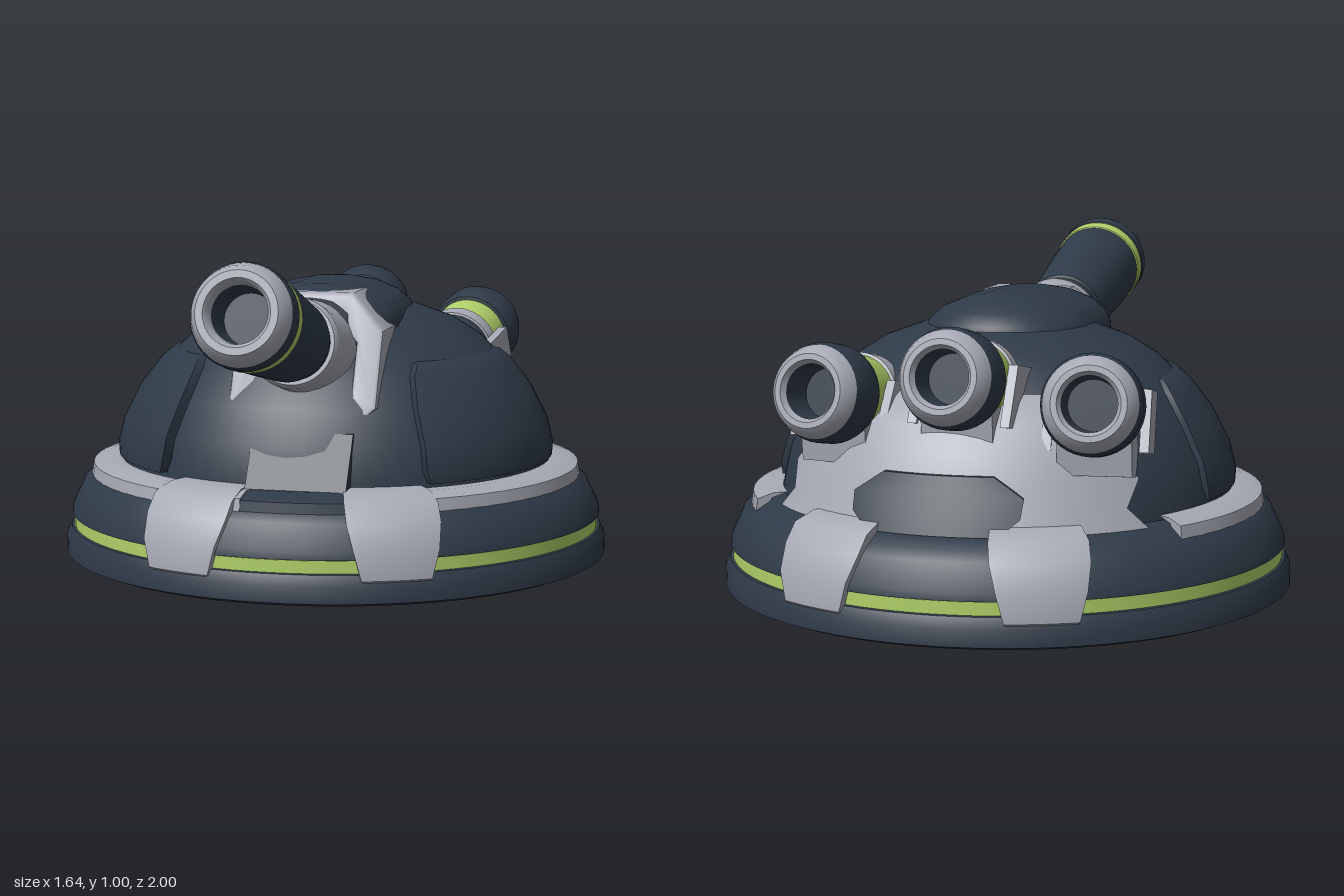
import * as THREE from 'three';
import { toCreasedNormals } from 'three/addons/utils/BufferGeometryUtils.js';

const RAD = Math.PI / 180;
const HULL_Z = -0.18;

export function createModel() {
  const model = new THREE.Group();
  model.name = 'domeTurret';

  const material = (name, color) => {
    const m = new THREE.MeshStandardMaterial({ color });
    m.name = name;
    return m;
  };
  const dark = material('darkSlate', 0x2f3a48);
  const grey = material('lightGrey', 0xa6a9b4);
  const lime = material('limeGreen', 0xb0d068);

  const add = (parent, name, geometry, mat, crease = 0.6) => {
    const mesh = new THREE.Mesh(toCreasedNormals(geometry, crease), mat);
    mesh.name = name;
    parent.add(mesh);
    return mesh;
  };

  // Turned part; points are [radius, height], listed from bottom to top
  const turned = (points, segments = 64) =>
    new THREE.LatheGeometry(points.map(([r, y]) => new THREE.Vector2(r, y)), segments);

  // Curved plate on the hull; rows are [radius, height, half width in degrees]
  const plate = (rows, centre, thickness) => {
    const n = rows.length - 1;
    const g = new THREE.BoxGeometry(1, 1, 1, 20, n, 1);
    const p = g.attributes.position;
    for (let i = 0; i < p.count; i++) {
      const [r, y, w] = rows[Math.round((p.getY(i) + 0.5) * n)];
      const a = (centre + p.getX(i) * 2 * w) * RAD;
      const radius = r - (0.5 - p.getZ(i)) * thickness;
      p.setXYZ(i, radius * Math.sin(a), y, radius * Math.cos(a));
    }
    g.computeVertexNormals();
    return g;
  };

  // ---- Hull ----
  const hull = new THREE.Group();
  hull.name = 'hull';
  hull.position.z = HULL_Z;
  model.add(hull);

  add(hull, 'baseDisc', turned([
    [0, 0], [0.5, 0.008], [0.79, 0.03], [0.82, 0.042], [0.82, 0.09], [0.805, 0.12], [0.77, 0.125],
  ], 96), dark);
  add(hull, 'limeBand', turned([[0.78, 0.118], [0.797, 0.122], [0.797, 0.158], [0.78, 0.162]], 96), lime);
  add(hull, 'skirtRing', turned([
    [0.77, 0.157], [0.803, 0.16], [0.8, 0.18], [0.765, 0.255], [0.735, 0.28], [0.70, 0.302], [0.63, 0.31],
  ], 96), dark);

  // Dome, slightly shorter front to back
  const dome = add(hull, 'dome', turned([
    [0.655, 0.29], [0.65, 0.34], [0.63, 0.43], [0.575, 0.535], [0.515, 0.615],
    [0.44, 0.69], [0.36, 0.74], [0.25, 0.78], [0.12, 0.8], [0, 0.805],
  ], 72), dark, 1);
  dome.scale.z = 0.96;

  // Grey collar ring, open at the front and rear
  for (const [name, from, to] of [['leftCollarRing', 15, 124], ['rightCollarRing', -124, -8]]) {
    add(hull, name, plate([
      [0.742, 0.27, (to - from) / 2], [0.736, 0.31, (to - from) / 2], [0.69, 0.325, (to - from) / 2],
    ], (from + to) / 2, 0.04), grey);
  }

  // Raised side panels
  for (const side of [1, -1]) {
    add(hull, side > 0 ? 'leftSidePanel' : 'rightSidePanel', plate([
      [0.658, 0.335, 34], [0.66, 0.37, 35], [0.643, 0.44, 35], [0.592, 0.54, 35],
      [0.53, 0.62, 33], [0.495, 0.65, 30], [0.465, 0.655, 28],
    ], side * 71, 0.06), dark);
  }

  // Clamps folded over the skirt
  [['rightFrontClamp', -19.5], ['leftFrontClamp', 25], ['leftRearClamp', 157.5], ['rightRearClamp', 203.5]]
    .forEach(([name, angle]) => {
      add(hull, name, plate([
        [0.806, 0.09, 6], [0.82, 0.105, 7], [0.818, 0.185, 8.5], [0.785, 0.255, 9.8],
        [0.75, 0.305, 10.2], [0.69, 0.328, 10.2], [0.65, 0.33, 10.2],
      ], angle, 0.06), grey);
    });

  // Rear launcher mount with a dark inset
  add(hull, 'launcherMount', plate([
    [0.685, 0.3, 51], [0.662, 0.36, 46], [0.633, 0.43, 51], [0.607, 0.5, 46],
    [0.56, 0.57, 49], [0.5, 0.63, 53], [0.44, 0.66, 45],
  ], 180, 0.09), grey);
  add(hull, 'rearInset', plate([
    [0.702, 0.305, 15], [0.684, 0.35, 20], [0.662, 0.4, 21], [0.638, 0.455, 14],
  ], 180, 0.05), dark);

  // Top hatch: a turned cap stretched toward the front
  const cap = turned([
    [0.245, 0.68], [0.242, 0.765], [0.228, 0.795], [0.19, 0.828], [0.13, 0.853], [0.06, 0.866], [0, 0.87],
  ], 48);
  const cp = cap.attributes.position;
  for (let i = 0; i < cp.count; i++) {
    const z = cp.getZ(i);
    if (z > 0.001) cp.setZ(i, z + 0.2);
    cp.setZ(i, cp.getZ(i) - 0.17);
  }
  cap.computeVertexNormals();
  add(model, 'topHatch', cap, dark, 1);

  // ---- Gun mount, sheared so its face leans back ----
  const lean = (g, slope) => {
    const p = g.attributes.position;
    for (let i = 0; i < p.count; i++) p.setZ(i, p.getZ(i) - p.getY(i) * slope);
    g.computeVertexNormals();
    return g;
  };
  const octagon = (s) => [[-0.11, -0.2], [0.11, -0.2], [0.215, -0.11], [0.215, 0.1],
    [0.12, 0.2], [-0.12, 0.2], [-0.215, 0.1], [-0.215, -0.11]]
    .map(([x, y]) => new THREE.Vector2(x * s, y * s));
  const frame = new THREE.Shape(octagon(0.95));
  frame.holes.push(new THREE.Path(octagon(0.7).reverse()));
  const bevel = { depth: 0.15, bevelThickness: 0.015, bevelSize: 0.012, bevelSegments: 2 };
  const mount = new THREE.Group();
  mount.name = 'gunMount';
  mount.position.set(0.02, 0.65, 0.12);
  model.add(mount);
  add(mount, 'mountFrame', lean(new THREE.ExtrudeGeometry(frame, bevel), 0.46), grey);
  add(mount, 'mountRecess', lean(new THREE.ExtrudeGeometry(new THREE.Shape(octagon(0.76)),
    { depth: 0.11, bevelEnabled: false }), 0.46), dark);

  // Chin block under the mount
  const chin = add(model, 'chinBlock', lean(new THREE.BoxGeometry(0.29, 0.2, 0.24), 0.62), dark);
  chin.position.set(0.037, 0.375, 0.33);
  add(hull, 'chinFoot', plate([[0.742, 0.265, 12], [0.735, 0.305, 12], [0.68, 0.325, 12]], 3, 0.07), dark);

  // ---- Barrels, built along +z ----
  const aimed = (name, position, yaw, pitch) => {
    const g = new THREE.Group();
    g.name = name;
    g.position.set(...position);
    g.rotation.set(-pitch, yaw, 0, 'YXZ');
    model.add(g);
    return g;
  };
  const barrelPart = (parent, name, mat, points) =>
    add(parent, name, turned(points, 40).rotateX(Math.PI / 2), mat);

  const cannon = aimed('cannon', [0.01, 0.706, 0.3], 0, 0.245);
  barrelPart(cannon, 'cannonCollar', grey, [
    [0.1, -0.14], [0.145, -0.1], [0.143, -0.05], [0.13, 0.0], [0.13, 0.085], [0.12, 0.1], [0.09, 0.1]]);
  barrelPart(cannon, 'cannonNeck', dark, [[0.108, 0.08], [0.11, 0.16]]);
  barrelPart(cannon, 'cannonBarrel', dark, [
    [0.1, 0.14], [0.118, 0.15], [0.124, 0.26], [0.132, 0.42], [0.135, 0.55]]);
  barrelPart(cannon, 'cannonLimeBand', lime, [[0.13, 0.548], [0.139, 0.552], [0.139, 0.592], [0.13, 0.597]]);
  barrelPart(cannon, 'cannonMuzzleBand', dark, [[0.13, 0.592], [0.141, 0.597], [0.141, 0.635], [0.136, 0.65]]);
  barrelPart(cannon, 'cannonMuzzle', grey, [
    [0.136, 0.648], [0.125, 0.68], [0.11, 0.697], [0.09, 0.697], [0.08, 0.685], [0.077, 0.66]]);
  barrelPart(cannon, 'cannonBore', dark, [[0.077, 0.66], [0.07, 0.56], [0, 0.56]]);

  // Three rear launch tubes, the outer two splayed outward
  [
    ['rightLauncher', [-0.395, 0.635, -0.665], Math.PI + 0.15],
    ['middleLauncher', [-0.035, 0.695, -0.715], Math.PI],
    ['leftLauncher', [0.325, 0.635, -0.68], Math.PI - 0.15],
  ].forEach(([name, position, yaw]) => {
    const tube = aimed(name, position, yaw, 0.2);
    barrelPart(tube, 'tubeBody', dark, [[0, -0.33], [0.06, -0.31], [0.1, -0.25], [0.116, -0.16], [0.116, -0.12]]);
    barrelPart(tube, 'tubeSleeve', grey, [[0.11, -0.155], [0.123, -0.15], [0.123, -0.1], [0.11, -0.095]]);
    barrelPart(tube, 'tubeLimeBand', lime, [[0.115, -0.1], [0.118, -0.05], [0.118, 0.01]]);
    barrelPart(tube, 'tubeCap', dark, [
      [0.11, 0], [0.128, 0.005], [0.136, 0.03], [0.136, 0.095], [0.126, 0.13]]);
    barrelPart(tube, 'tubeLip', grey, [
      [0.127, 0.128], [0.115, 0.155], [0.1, 0.17], [0.084, 0.17], [0.074, 0.155]]);
    barrelPart(tube, 'tubeBore', dark, [[0.074, 0.155], [0.068, 0.06], [0, 0.06]]);
    // Grey support fins and cradle
    for (const side of [-1, 1]) {
      const fin = add(tube, 'supportFin', lean(new THREE.BoxGeometry(0.026, 0.17, 0.17), 0.3), grey);
      fin.position.set(side * 0.13, -0.035, -0.11);
    }
    const cradle = add(tube, 'tubeCradle', lean(new THREE.BoxGeometry(0.2, 0.12, 0.16), -0.3), grey);
    cradle.position.set(0, -0.125, -0.07);
  });

  return model;
}
